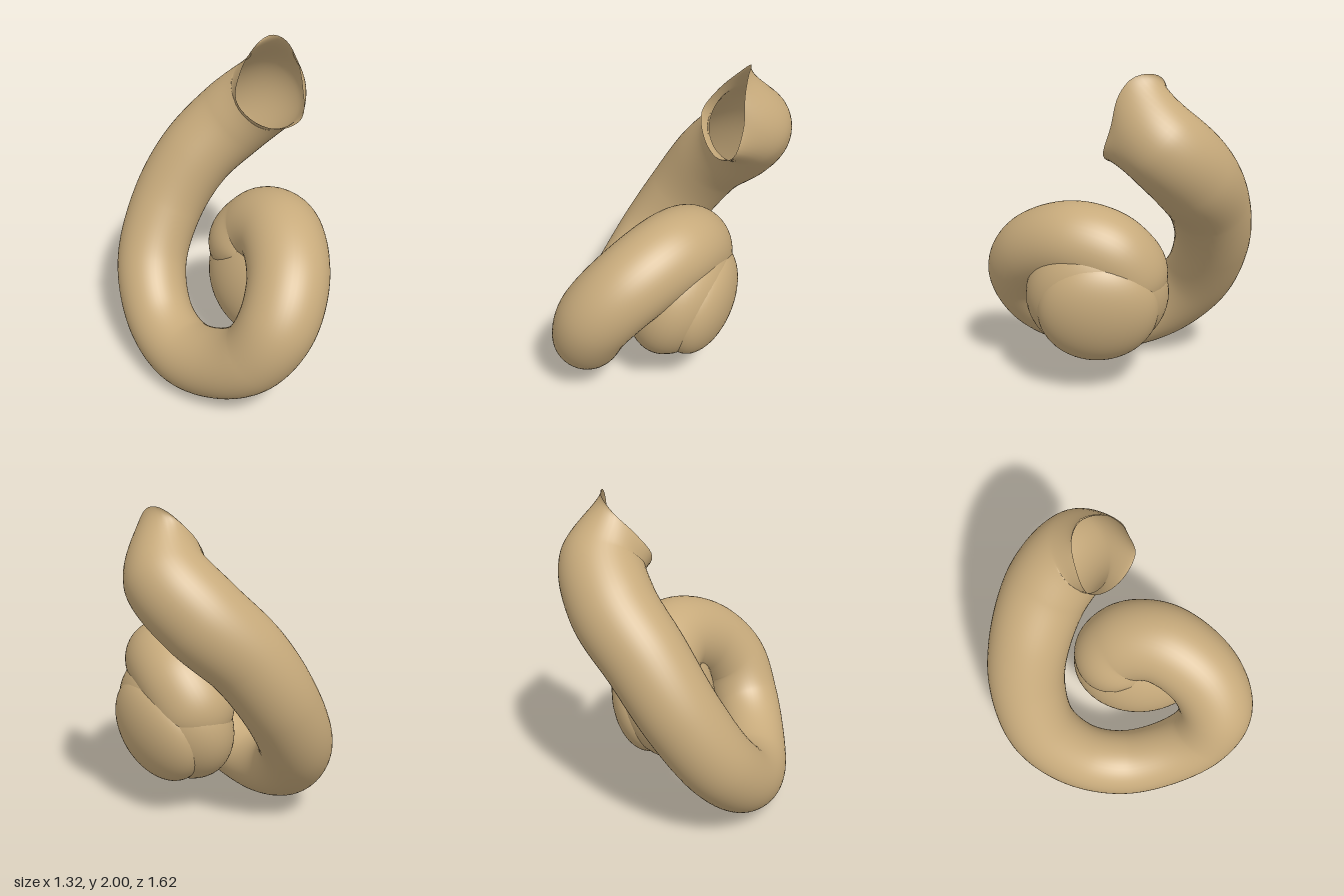
import * as THREE from 'three';

const SIDES = 48, RINGS = 300, FLARE = 20;

// Centre line from the mouth to the innermost coil: x, y, z, tube radius
const path = [
  [0.33, 1.72, -0.06, 0.22], [0.415, 1.61, -0.21, 0.24], [0.32, 1.42, -0.39, 0.25],
  [0.11, 1.18, -0.525, 0.24], [-0.09, 0.88, -0.58, 0.23], [-0.29, 0.55, -0.51, 0.22],
  [-0.415, 0.30, -0.28, 0.21], [-0.45, 0.21, 0.0, 0.21], [-0.41, 0.28, 0.30, 0.21],
  [-0.34, 0.43, 0.50, 0.215], [-0.235, 0.65, 0.58, 0.23], [-0.07, 0.84, 0.49, 0.24],
  [0.10, 0.94, 0.25, 0.25], [0.15, 0.87, 0.04, 0.25], [0.11, 0.70, -0.04, 0.24],
  [0.11, 0.60, 0.06, 0.01],
];

// Teardrop lip of the mouth, clockwise from its top point
const lip = [
  [0.43, 1.995, -0.13], [0.435, 1.97, -0.05], [0.44, 1.88, 0.02], [0.45, 1.72, 0.06],
  [0.41, 1.55, 0.1], [0.3, 1.49, 0.03], [0.19, 1.54, -0.08], [0.14, 1.66, -0.18],
  [0.22, 1.79, -0.23], [0.34, 1.91, -0.245], [0.41, 1.98, -0.2],
];

const vec = (p) => new THREE.Vector3(p[0], p[1], p[2]);

function coilGeometry() {
  const centre = new THREE.CatmullRomCurve3(path.map(vec), false, 'centripetal');
  const radii = new THREE.CatmullRomCurve3(path.map((p, i) => new THREE.Vector3(i, p[3], 0)));
  const rim = new THREE.CatmullRomCurve3(lip.map(vec), true, 'centripetal');
  const positions = [], index = [];
  const normal = vec(lip[0]).sub(vec(path[0]));

  for (let i = 0; i <= RINGS; i++) {
    const t = i / RINGS;
    const c = centre.getPoint(t), r = Math.max(radii.getPoint(t).y, 0.005);
    const tangent = centre.getTangent(t);
    // Carry the ring frame along without twist
    normal.addScaledVector(tangent, -normal.dot(tangent)).normalize();
    const side = new THREE.Vector3().crossVectors(tangent, normal);
    const blend = THREE.MathUtils.smoothstep(i, 0, FLARE);
    for (let j = 0; j < SIDES; j++) {
      const a = (j / SIDES) * Math.PI * 2;
      const p = c.clone().addScaledVector(normal, r * Math.cos(a)).addScaledVector(side, r * Math.sin(a));
      // The first rings melt from the lip into the round tube
      if (i < FLARE) p.lerp(rim.getPointAt(j / SIDES), 1 - blend);
      positions.push(p.x, p.y, p.z);
      if (i < RINGS) {
        const k = (j + 1) % SIDES, u = i * SIDES, v = u + SIDES;
        index.push(u + j, u + k, v + j, u + k, v + k, v + j);
      }
    }
  }
  const geometry = new THREE.BufferGeometry();
  geometry.setAttribute('position', new THREE.Float32BufferAttribute(positions, 3));
  geometry.setIndex(index);
  geometry.computeVertexNormals();
  return geometry;
}

export function createModel() {
  const group = new THREE.Group();
  group.name = 'coiledShell';
  const tan = new THREE.MeshStandardMaterial({ color: 0xc8ab7c, side: THREE.DoubleSide });
  tan.name = 'tan';

  const shell = new THREE.Mesh(coilGeometry(), tan);
  shell.name = 'shellTube';
  group.add(shell);

  // Fused inner whorls: tilted, flattened balls
  const addWhorl = (name, position, scale, tilt) => {
    const whorl = new THREE.Mesh(new THREE.SphereGeometry(1, 48, 32), tan);
    whorl.name = name;
    whorl.position.set(...position);
    whorl.scale.set(...scale);
    whorl.rotation.z = tilt;
    group.add(whorl);
  };
  addWhorl('innerWhorl', [0.12, 0.62, 0.13], [0.29, 0.42, 0.43], -0.33);
  addWhorl('apex', [0.25, 0.575, 0.13], [0.2, 0.35, 0.36], -0.22);
  return group;
}
